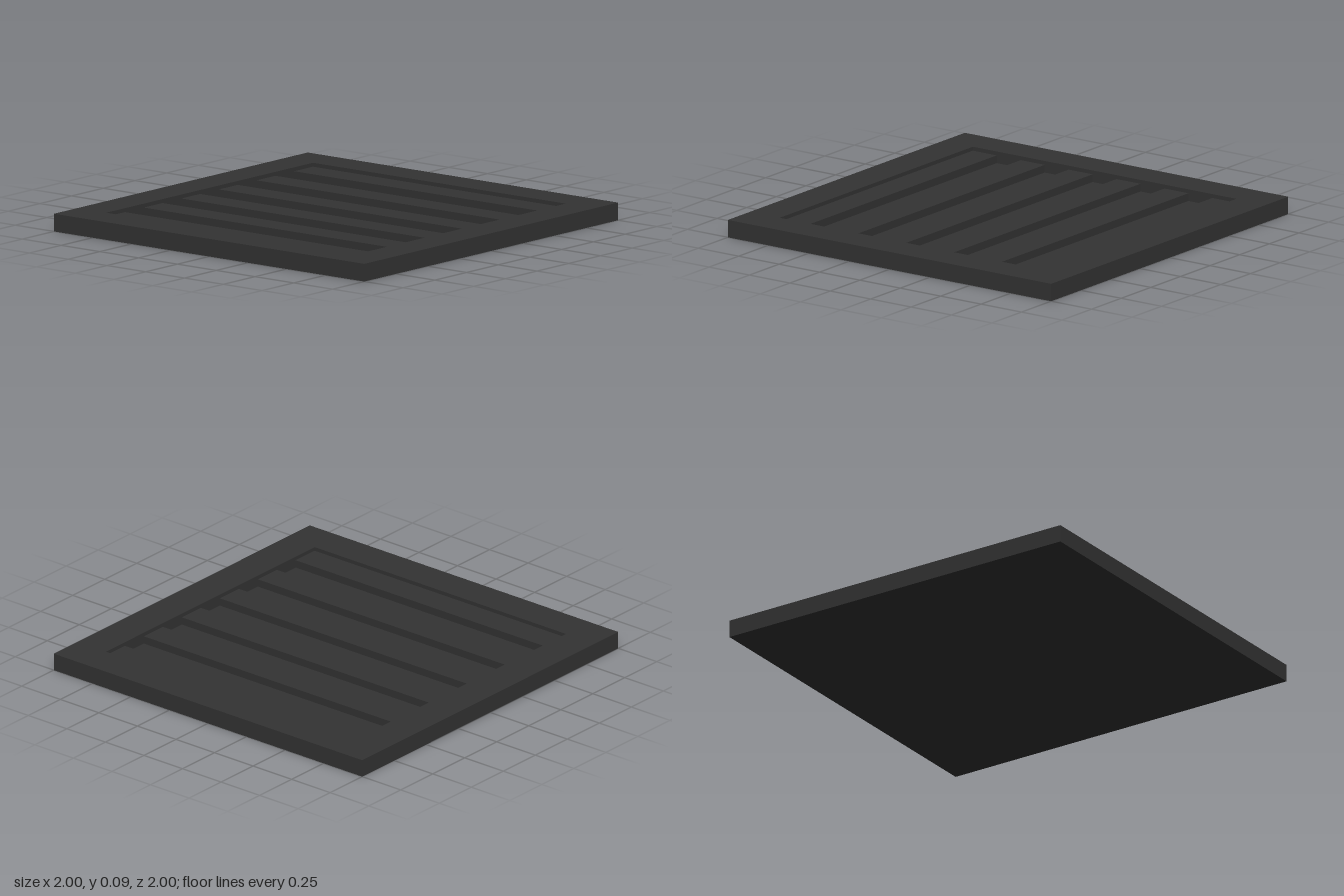
import * as THREE from 'three';

const HALF = 1;          // half width of the panel
const INNER = 0.815;     // half width of the recess
const HEIGHT = 0.09;     // top of the frame
const FLOOR = 0.03;      // bottom of the grooves
const SLAT_TOP = 0.07;   // slats sit a little below the frame
const BANDS = 11;        // alternating slats and grooves

export function createModel() {
  const group = new THREE.Group();
  group.name = 'slattedPanel';
  const charcoal = new THREE.MeshStandardMaterial({ color: 0x333333 });
  charcoal.name = 'charcoal';

  const add = (name, geometry, x = 0, y = 0, z = 0) => {
    const mesh = new THREE.Mesh(geometry, charcoal);
    mesh.name = name;
    mesh.position.set(x, y, z);
    group.add(mesh);
    return mesh;
  };

  // Square frame with a square opening, extruded upward
  const square = (Type, h) => {
    const path = new Type();
    path.moveTo(-h, -h);
    path.lineTo(h, -h);
    path.lineTo(h, h);
    path.lineTo(-h, h);
    path.closePath();
    return path;
  };
  const outline = square(THREE.Shape, HALF);
  outline.holes.push(square(THREE.Path, INNER));
  const frame = new THREE.ExtrudeGeometry(outline, { depth: HEIGHT, bevelEnabled: false });
  frame.rotateX(-Math.PI / 2);
  add('frame', frame);

  // Floor plate closing the opening from below
  add('floorPlate', new THREE.BoxGeometry(INNER * 2, FLOOR, INNER * 2), 0, FLOOR / 2, 0);

  // Raised slats on every other band, running front to back
  const width = (INNER * 2) / BANDS;
  const slat = new THREE.BoxGeometry(width, SLAT_TOP - FLOOR, INNER * 2);
  for (let i = 0; i < BANDS; i += 2) {
    add('slat' + (i / 2 + 1), slat, -INNER + (i + 0.5) * width, (FLOOR + SLAT_TOP) / 2, 0);
  }

  return group;
}
